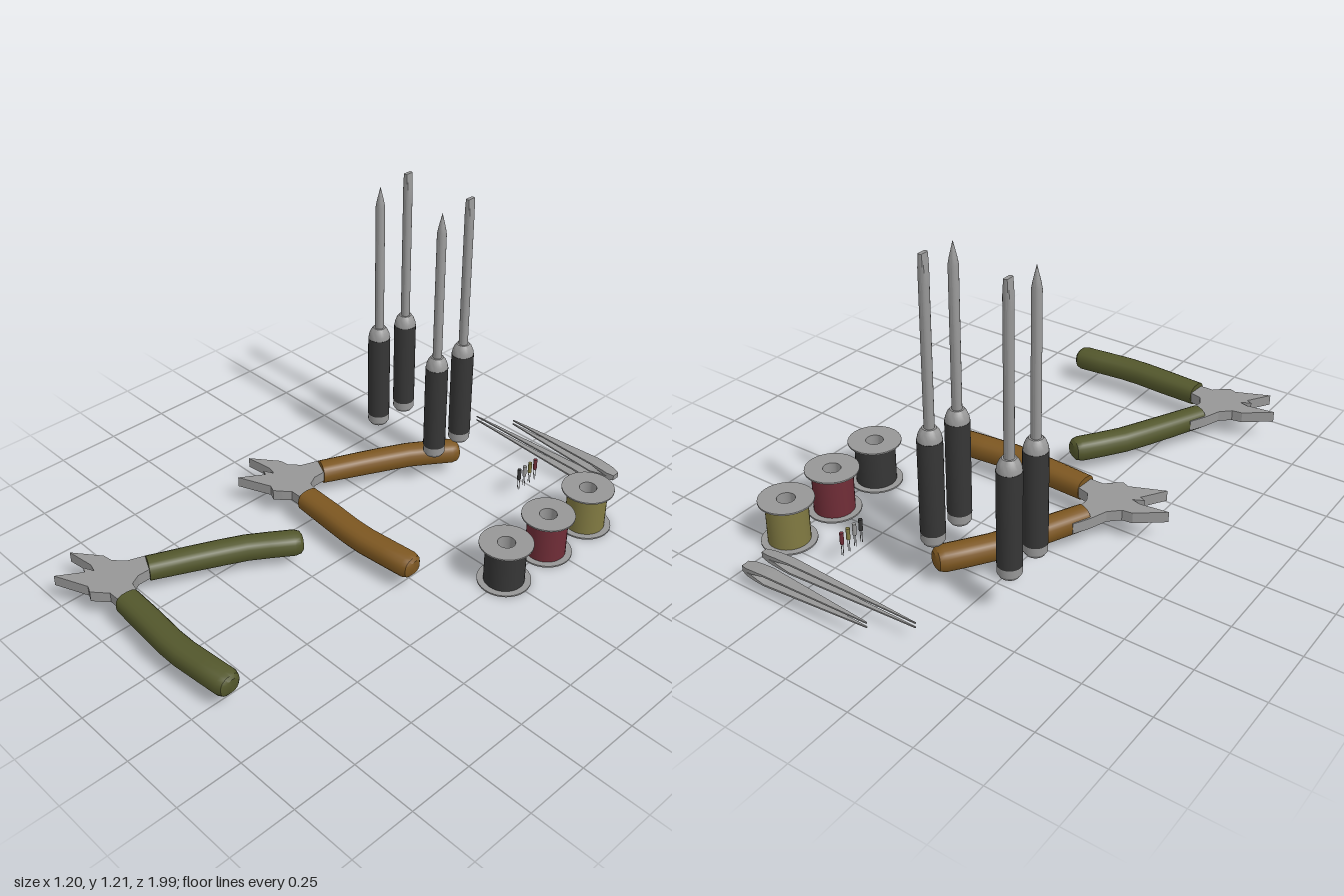
import * as THREE from 'three';
import { toCreasedNormals } from 'three/addons/utils/BufferGeometryUtils.js';

const paint = (name, color) => {
  const m = new THREE.MeshStandardMaterial({ color });
  m.name = name;
  return m;
};
const metal = paint('steel grey', 0x979797);
const black = paint('black rubber', 0x363636);
const green = paint('olive green', 0x53572c);
const brown = paint('ochre brown', 0x7d5721);
const red = paint('dark red', 0x702d37);
const yellow = paint('mustard yellow', 0x817a42);

function add(parent, name, geometry, material, x = 0, y = 0, z = 0) {
  const mesh = new THREE.Mesh(geometry, material);
  mesh.name = name;
  mesh.position.set(x, y, z);
  parent.add(mesh);
  return mesh;
}

function group(parent, name, x = 0, y = 0, z = 0) {
  const g = new THREE.Group();
  g.name = name;
  g.position.set(x, y, z);
  parent.add(g);
  return g;
}

const lathe = (pts, sides = 24) =>
  toCreasedNormals(new THREE.LatheGeometry(pts.map(p => new THREE.Vector2(...p)), sides), 0.5);

// piecewise linear lookup through [t, value] pairs
function lookup(pts, t) {
  for (let i = 1; i < pts.length; i++) {
    const [a, va] = pts[i - 1], [b, vb] = pts[i];
    if (t <= b) return va + (vb - va) * Math.max(0, (t - a) / (b - a));
  }
  return pts[pts.length - 1][1];
}

// rounded grip swept through stations [x, z, scale]
function gripGeometry(stations, halfWidth, halfHeight, sides = 16) {
  const pos = [], index = [];
  const soft = v => Math.sign(v) * Math.pow(Math.abs(v), 0.8);
  stations.forEach(([x, z, s], i) => {
    const p = stations[Math.max(0, i - 1)], n = stations[Math.min(stations.length - 1, i + 1)];
    const t = new THREE.Vector2(n[0] - p[0], n[1] - p[1]).normalize();
    for (let j = 0; j < sides; j++) {
      const a = (j / sides) * Math.PI * 2;
      const w = halfWidth * s * soft(Math.cos(a)), h = halfHeight * s * soft(Math.sin(a));
      pos.push(x + t.y * w, h, z - t.x * w);
      if (i < stations.length - 1) {
        const k = i * sides + j, l = i * sides + (j + 1) % sides;
        index.push(k, l, k + sides, l, l + sides, k + sides);
      }
    }
  });
  const g = new THREE.BufferGeometry();
  g.setAttribute('position', new THREE.Float32BufferAttribute(pos, 3));
  g.setIndex(index);
  return toCreasedNormals(g, 0.6);
}

function pliers(parent, gripMaterial, z) {
  const g = group(parent, 'pliers', 0, 0.098, z);
  // flat steel head with open jaws; tangs run into the grips
  const outline = [
    [-0.6, 0.042], [-0.5, -0.036], [-0.46, -0.042], [-0.42, -0.08], [-0.395, -0.15],
    [-0.365, -0.21], [-0.3, -0.18], [-0.325, -0.11], [-0.325, -0.06], [-0.305, -0.022],
    [-0.26, -0.01], [-0.22, -0.01], [-0.22, 0.064], [-0.318, 0.064], [-0.345, 0.09],
    [-0.372, 0.112], [-0.4, 0.1], [-0.53, 0.155], [-0.472, 0.065], [-0.495, 0.055],
    [-0.455, 0.036], [-0.49, 0.027],
  ];
  const shape = new THREE.Shape(outline.map(([x, pz]) => new THREE.Vector2(x, -pz)));
  const head = new THREE.ExtrudeGeometry(shape, { depth: 0.042, bevelEnabled: false });
  head.rotateX(-Math.PI / 2).translate(0, -0.021, 0);
  add(g, 'jaws', head, metal);

  const straight = [
    [-0.263, 0.032, 0], [-0.262, 0.032, 0.96], [-0.12, 0.041, 1], [0, 0.05, 1], [0.08, 0.05, 1],
    [0.18, 0.041, 1], [0.275, 0.032, 1], [0.295, 0.03, 0.86], [0.304, 0.029, 0.6], [0.305, 0.029, 0],
  ];
  const angled = [
    [-0.356, -0.122, 0], [-0.3555, -0.123, 0.94], [-0.29, -0.265, 0.98], [-0.24, -0.37, 1],
    [-0.2, -0.45, 1], [-0.15, -0.525, 1], [-0.1, -0.596, 1], [-0.088, -0.613, 0.86],
    [-0.083, -0.621, 0.6], [-0.0825, -0.622, 0],
  ];
  add(g, 'straightGrip', gripGeometry(straight, 0.05, 0.044), gripMaterial);
  add(g, 'angledGrip', gripGeometry(angled, 0.047, 0.044), gripMaterial);
}

function screwdriver(parent, x, z, flat) {
  const g = group(parent, flat ? 'flatScrewdriver' : 'pointedScrewdriver', x, 0, z);
  const r = 0.0176;
  add(g, 'endCap', lathe([[0, 0.165], [0.034, 0.165], [0.042, 0.178], [0.042, 0.21]]), metal);
  add(g, 'grip', lathe([[0, 0.208], [0.043, 0.208], [0.043, 0.56], [0, 0.56]]), black);
  add(g, 'collar', lathe([[0.042, 0.56], [0.04, 0.575], [0.033, 0.593], [0.024, 0.605], [0, 0.605]]), metal);
  if (!flat) {
    add(g, 'shaft', lathe([[r, 0.6], [r, 1.115], [0.013, 1.14], [0, 1.195]], 16), metal);
    return;
  }
  add(g, 'shaft', lathe([[r, 0.6], [r, 1.105]], 16), metal);
  // blade: the round end pinched between two sloping planes
  const blade = new THREE.CylinderGeometry(r, r, 0.1, 24, 4).translate(0, 1.155, 0);
  const p = blade.attributes.position;
  for (let i = 0; i < p.count; i++) {
    const limit = lookup([[1.105, r], [1.13, 0.0165], [1.205, 0.007]], p.getY(i));
    p.setX(i, THREE.MathUtils.clamp(p.getX(i), -limit, limit));
  }
  add(g, 'blade', toCreasedNormals(blade, 0.5), metal);
}

function spool(parent, z, wire) {
  const g = group(parent, 'wireSpool', 0.495, 0, z);
  const reel = [
    [0.033, 0], [0.1, 0], [0.1, 0.006], [0.07, 0.006], [0.07, 0.167],
    [0.1, 0.167], [0.1, 0.173], [0.033, 0.173], [0.033, 0],
  ];
  add(g, 'reel', lathe(reel, 32), metal);
  add(g, 'woundWire', lathe([[0.076, 0.006], [0.076, 0.167]], 32), wire);
}

function tweezers(parent, z, tipX, halfWidth) {
  const g = group(parent, 'tweezers', 0, 0.064, z);
  const length = 0.443 - tipX;
  for (const side of [1, -1]) {
    // slim bar shaped by width, bow and thickness along its length
    const arm = new THREE.BoxGeometry(1, 1, 1, 20, 1, 1);
    const p = arm.attributes.position;
    for (let i = 0; i < p.count; i++) {
      const u = p.getX(i) + 0.5;
      const outer = lookup([[0, 0.011], [0.8, 0.022], [0.9, 0.018], [1, 0.011]], u);
      const inner = lookup([[0, 0.006], [0.8, 0.015], [0.92, 0], [1, 0]], u);
      const width = halfWidth * lookup([[0, 0.08], [0.82, 1], [0.95, 0.92], [1, 0.6]], u);
      const isOuter = p.getY(i) * side > 0;
      p.setXYZ(i, tipX + u * length, side * (isOuter ? outer : inner), p.getZ(i) * 2 * width);
    }
    add(g, side > 0 ? 'upperArm' : 'lowerArm', toCreasedNormals(arm, 0.5), metal);
  }
}

function component(parent, z, material) {
  const g = group(parent, 'component', 0.222, 0, z);
  add(g, 'body', new THREE.CylinderGeometry(0.0075, 0.0075, 0.045, 12), material, 0, 0.128);
  for (const x of [-0.004, 0.004])
    add(g, 'lead', new THREE.CylinderGeometry(0.0013, 0.0013, 0.05, 6), metal, x, 0.082);
}

export function createModel() {
  const model = new THREE.Group();
  model.name = 'workshopTools';

  pliers(model, brown, 0);
  pliers(model, green, 0.84);

  for (const x of [-0.385, -0.075]) {
    screwdriver(model, x, -0.468, false);
    screwdriver(model, x, -0.612, true);
  }

  spool(model, -0.245, black);
  spool(model, -0.48, red);
  spool(model, -0.715, yellow);

  tweezers(model, -0.973, -0.09, 0.026);
  tweezers(model, -0.886, -0.217, 0.019);

  [black, metal, yellow, red].forEach((m, i) => component(model, -0.64 - i * 0.032, m));
  return model;
}
